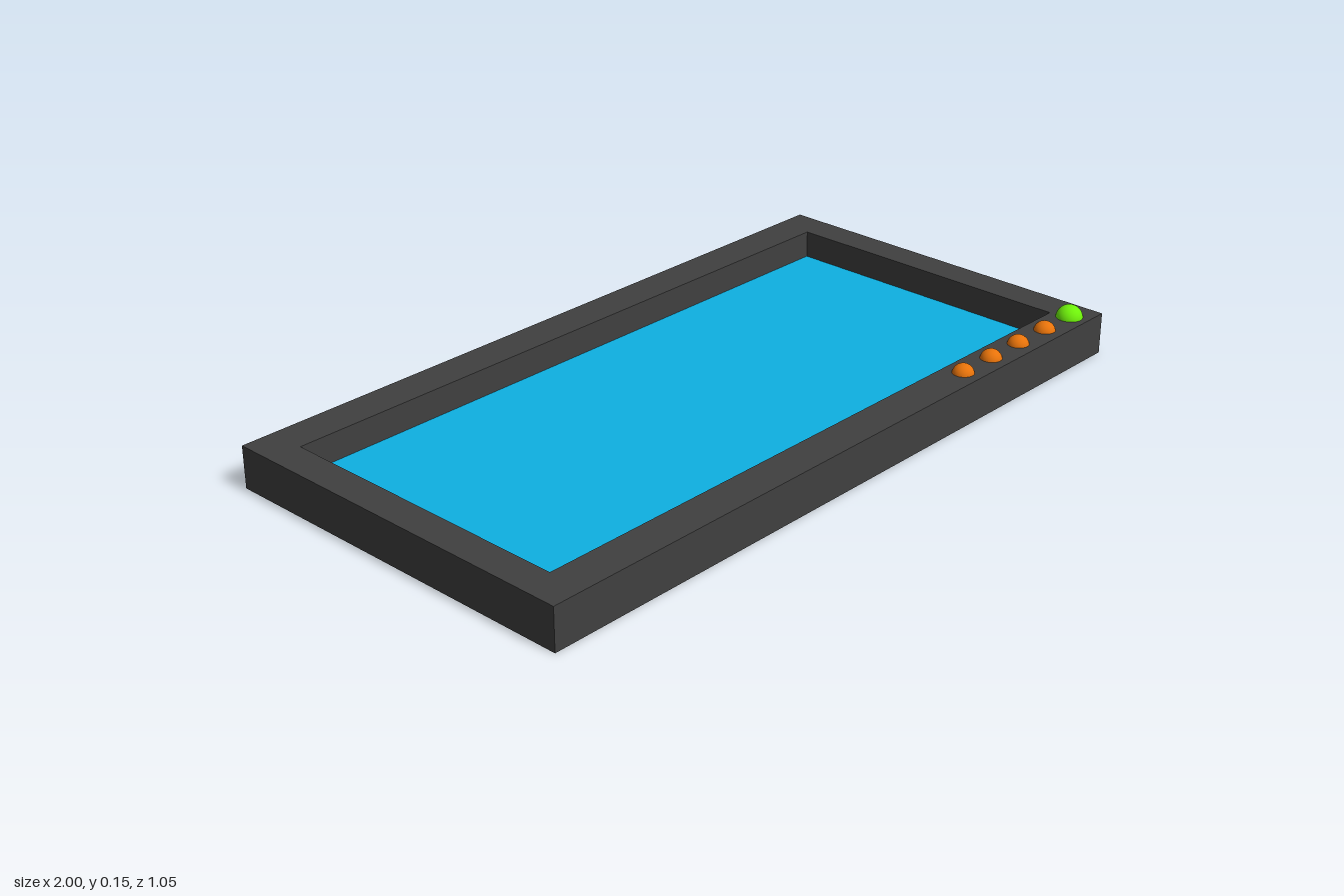
import * as THREE from 'three';

const HALF_X = 1, HALF_Z = 0.523, HEIGHT = 0.113;
const INNER_X = 0.911, INNER_Z = 0.419, WATER_Y = 0.038;

const material = (color) => new THREE.MeshStandardMaterial({ color });

function addMesh(group, name, geometry, mat, x, y, z) {
  const mesh = new THREE.Mesh(geometry, mat);
  mesh.name = name;
  mesh.position.set(x, y, z);
  group.add(mesh);
  return mesh;
}

// Rectangle outline centred on the origin
function rectangle(Type, hx, hz) {
  return new Type([[-hx, -hz], [hx, -hz], [hx, hz], [-hx, hz]].map(([x, y]) => new THREE.Vector2(x, y)));
}

export function createModel() {
  const model = new THREE.Group();
  model.name = 'pool';
  const dark = material(0x404040);
  const blue = material(0x0eb0e2);
  const orange = material(0xe8730a);
  const green = material(0x6ef00a);

  // Surrounding wall with a rectangular opening
  const outline = rectangle(THREE.Shape, HALF_X, HALF_Z);
  outline.holes.push(rectangle(THREE.Path, INNER_X, INNER_Z));
  const wall = new THREE.ExtrudeGeometry(outline, { depth: HEIGHT, bevelEnabled: false });
  wall.rotateX(-Math.PI / 2);
  addMesh(model, 'wall', wall, dark, 0, 0, 0);

  // Floor closing the underside
  const floor = new THREE.PlaneGeometry(INNER_X * 2, INNER_Z * 2).rotateX(Math.PI / 2);
  addMesh(model, 'floor', floor, dark, 0, 0, 0);

  // Sunken water surface
  const water = new THREE.PlaneGeometry(INNER_X * 2, INNER_Z * 2).rotateX(-Math.PI / 2);
  addMesh(model, 'water', water, blue, 0, WATER_Y, 0);

  // Row of round buttons half sunk into the front rim
  const buttonZ = 0.471;
  const small = new THREE.SphereGeometry(0.029, 32, 16);
  for (let i = 0; i < 4; i++) {
    addMesh(model, `smallButton${i + 1}`, small, orange, 0.46 + i * 0.117, 0.108, buttonZ);
  }
  addMesh(model, 'largeButton', new THREE.SphereGeometry(0.036, 32, 16), green, 0.924, 0.11, buttonZ);

  return model;
}
